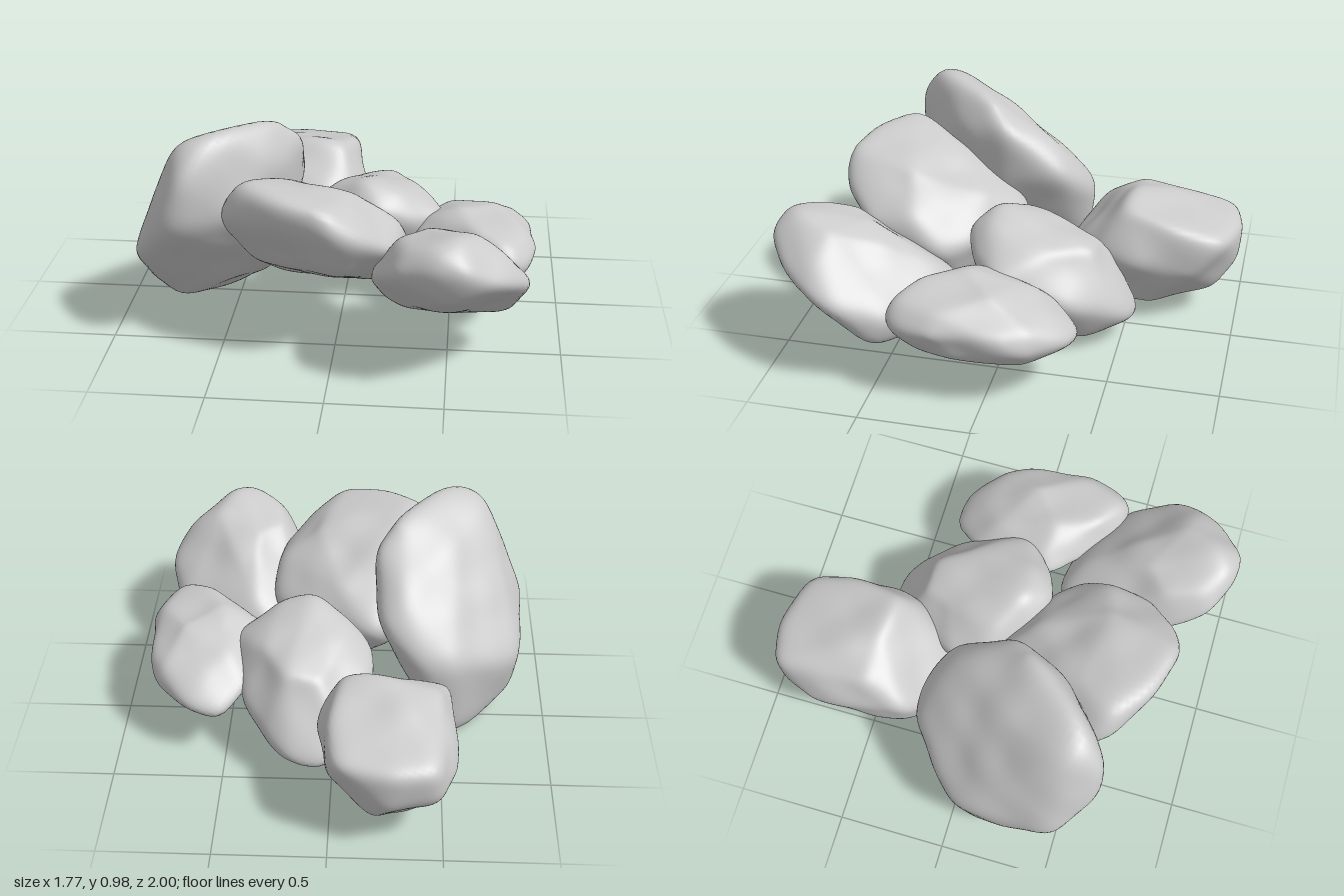
import * as THREE from 'three';
import { mergeVertices } from 'three/addons/utils/BufferGeometryUtils.js';
import { ConvexGeometry } from 'three/addons/geometries/ConvexGeometry.js';

// Rough corners of each stone: [x, y, z]
const STONES = {
  backStone: [
    [-.48, .46, -.96], [-.03, .47, -.94], [-.3, .46, -1], [-.48, .53, -.52], [-.05, .58, -.48],
    [-.27, .6, -.5], [0, .52, -.75], [-.56, .38, -.5], [-.56, .3, -.75], [.06, .35, -.56],
    [-.53, .43, -.34], [-.5, .16, -.32], [-.15, .27, -.18], [-.4, .28, -.2], [0, .38, -.36],
    [0, .3, -.8], [-.49, .28, -.93], [-.25, .26, -.98], [-.46, .06, -.5], [-.33, .03, -.72],
    [-.1, .08, -.6], [-.38, .07, -.27], [-.1, .1, -.24], [-.2, .15, -.88]],
  middleStone: [
    [.1, .62, .08], [.25, .57, .08], [-.05, .54, 0], [.3, .5, -.2], [0, .49, -.25],
    [.2, .48, -.35], [.06, .46, -.36], [.47, .42, .02], [.17, .5, .2], [0, .46, .17],
    [.32, .45, .16], [-.18, .42, -.06], [-.18, .38, -.18], [.42, .35, -.1], [.4, .3, -.27],
    [.04, .11, -.56], [.19, .15, -.54], [.29, .22, -.46], [.28, .06, -.31], [.02, .08, -.35],
    [.37, .17, -.02], [-.1, .09, -.28], [-.1, .24, 0], [.15, .26, .12], [-.02, .3, -.45]],
  leftStone: [
    [.75, .47, .38], [.6, .5, .28], [.82, .46, .2], [.55, .52, .12], [.7, .49, 0],
    [.5, .45, -.12], [.4, .46, .1], [.78, .39, -.18], [.6, .4, -.21], [.85, .39, 0],
    [.88, .38, .2], [.83, .36, .37], [.77, .36, .43], [.62, .36, .4], [.34, .38, .15],
    [.33, .36, .03], [.82, .3, -.18], [.65, .28, -.34], [.5, .25, -.37], [.4, .31, -.26],
    [.74, .21, .3], [.84, .25, .12], [.55, .26, .2], [.76, .2, -.14], [.54, .2, -.3],
    [.42, .29, 0]],
  tallStone: [
    [-.5, .98, .5], [-.3, .96, .24], [-.69, .92, .48], [-.18, .84, .12], [-.32, .72, -.12],
    [-.55, .85, .22], [-.64, .82, .64], [-.89, .42, .42], [-.87, .42, .5], [-.68, .6, .65],
    [-.84, .38, 0], [-.55, .5, -.23], [-.38, .5, -.26], [-.21, .62, -.16], [-.6, 0, -.1],
    [-.52, .03, -.19], [-.48, .08, -.05], [-.84, .13, .12], [-.28, .32, .25], [-.72, .13, .25],
    [-.19, .6, .12], [-.24, .78, .3], [-.3, .8, .38], [-.4, .6, .52]],
  frontStone: [
    [-.37, .82, .62], [-.2, .8, .76], [0, .77, .8], [-.25, .76, .45], [.1, .72, .5],
    [.28, .59, .45], [0, .6, .2], [-.49, .6, .52], [-.41, .65, .65], [.02, .66, .83],
    [.13, .62, .79], [.26, .55, .67], [.3, .5, .55], [.31, .44, .33], [.23, .46, .23],
    [.08, .48, .15], [-.17, .48, .01], [-.3, .48, .14], [-.22, .36, .1], [-.35, .42, .5],
    [-.27, .3, .33], [.19, .25, .3], [-.1, .22, .22], [.05, .45, .7]],
  frontLeftStone: [
    [.32, .65, .85], [.53, .71, .88], [.45, .69, .94], [.6, .66, .72], [.4, .62, .6],
    [.3, .62, .7], [.75, .55, .75], [.4, .45, .3], [.58, .6, 1], [.43, .6, .98],
    [.27, .56, .93], [.24, .5, .82], [.7, .53, .93], [.84, .42, .63], [.81, .45, .76],
    [.17, .42, .68], [.2, .45, .5], [.75, .35, .42], [.5, .3, .25], [.26, .32, .21],
    [.36, .2, .24], [.5, .44, .94], [.36, .18, .45], [.5, .17, .47], [.76, .2, .5],
    [.2, .28, .5], [.3, .32, .72]],
};

// Evenly meshed sphere shared by all stones, with the neighbours of each vertex
function makeSphere() {
  const ico = new THREE.IcosahedronGeometry(1, 20);
  ico.deleteAttribute('uv');
  ico.deleteAttribute('normal');
  const sphere = mergeVertices(ico, 1e-4);
  const near = Array.from({ length: sphere.attributes.position.count }, () => new Set());
  const id = sphere.index.array;
  for (let i = 0; i < id.length; i += 3) {
    for (let k = 0; k < 3; k++) {
      near[id[i + k]].add(id[i + (k + 1) % 3]).add(id[i + (k + 2) % 3]);
    }
  }
  return { sphere, near };
}

// Flat faces of the hull around the corners
function hullPlanes(corners) {
  const p = new ConvexGeometry(corners).attributes.position;
  const v = (i) => new THREE.Vector3().fromBufferAttribute(p, i);
  const planes = [];
  for (let i = 0; i < p.count; i += 3) {
    planes.push(new THREE.Plane().setFromCoplanarPoints(v(i), v(i + 1), v(i + 2)));
  }
  return planes.filter((pl) => pl.normal.lengthSq() > 0.5);
}

// Project the sphere onto the hull, dent it, then wear the edges smooth
function stoneGeometry(rows, seed, { sphere, near }) {
  const corners = rows.map((r) => new THREE.Vector3(...r));
  const center = corners.reduce((s, c) => s.add(c), new THREE.Vector3()).divideScalar(corners.length);
  const planes = hullPlanes(corners);
  const geo = sphere.clone();
  const pos = geo.attributes.position;

  let pts = near.map((_, i) => {
    const d = new THREE.Vector3().fromBufferAttribute(pos, i).normalize();
    let r = Infinity;
    for (const pl of planes) {
      const facing = pl.normal.dot(d);
      if (facing > 1e-4) r = Math.min(r, -pl.distanceToPoint(center) / facing);
    }
    const q = d.clone().multiplyScalar(r).add(center);
    const dent = Math.sin(q.x * 17 + seed) * Math.sin(q.y * 15 + seed * 2) * Math.sin(q.z * 16 + seed * 3);
    return q.addScaledVector(d, dent * 0.012);
  });

  for (let pass = 0; pass < 6; pass++) {
    pts = pts.map((p, i) => {
      const mean = new THREE.Vector3();
      near[i].forEach((j) => mean.add(pts[j]));
      return mean.divideScalar(near[i].size).lerp(p, 0.3);
    });
  }

  // Restore the full size lost by smoothing
  const want = new THREE.Box3().setFromPoints(corners);
  const have = new THREE.Box3().setFromPoints(pts);
  const scale = want.getSize(new THREE.Vector3()).divide(have.getSize(new THREE.Vector3()));
  pts.forEach((p, i) => {
    p.sub(have.min).multiply(scale).add(want.min);
    pos.setXYZ(i, p.x, p.y, p.z);
  });
  geo.computeVertexNormals();
  return geo;
}

export function createModel() {
  const group = new THREE.Group();
  group.name = 'stonePile';
  const material = new THREE.MeshStandardMaterial({ color: 0xcccccc });
  const base = makeSphere();
  Object.entries(STONES).forEach(([name, rows], i) => {
    const stone = new THREE.Mesh(stoneGeometry(rows, i + 1, base), material);
    stone.name = name;
    group.add(stone);
  });
  return group;
}
